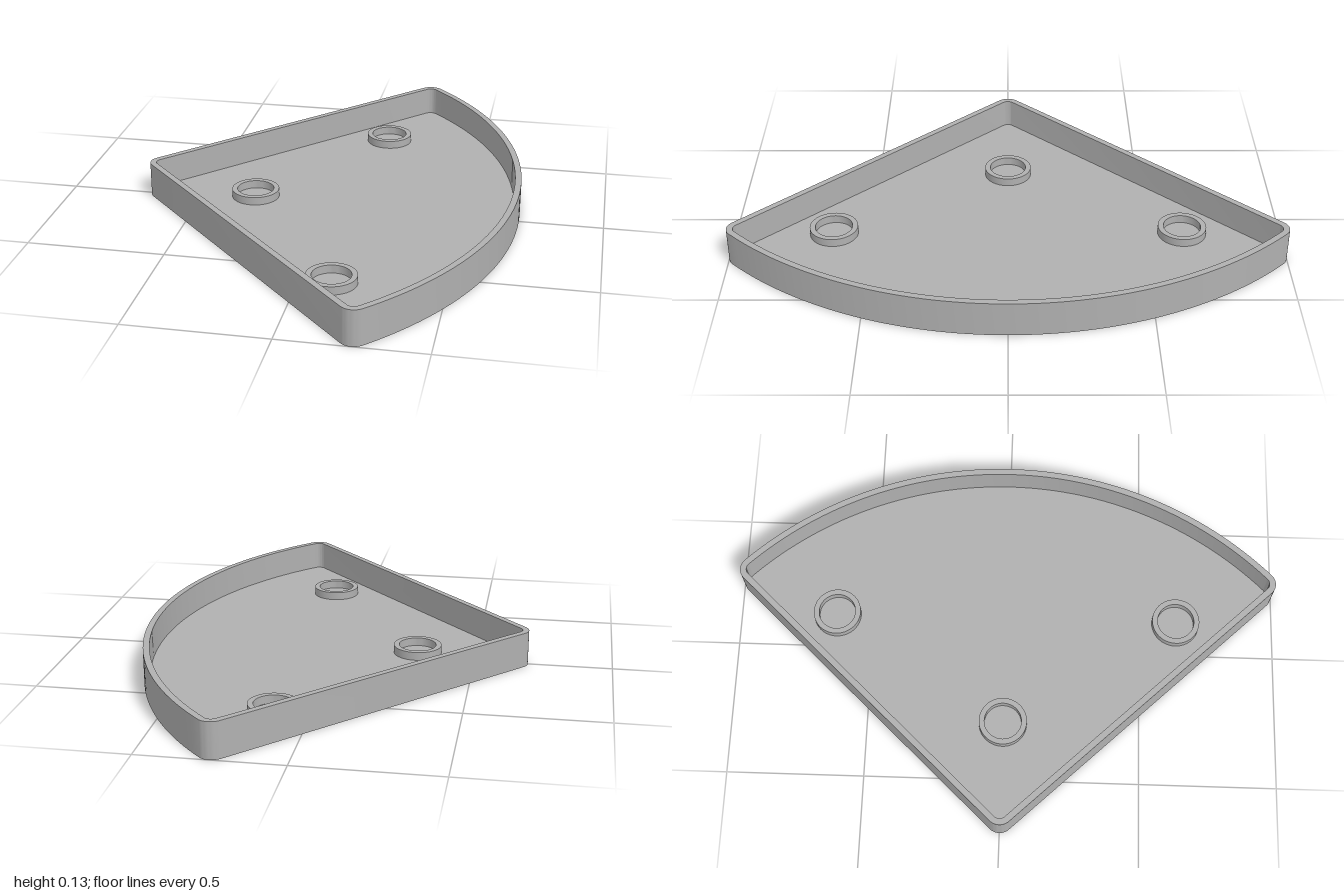
import * as THREE from 'three';
import { toCreasedNormals } from 'three/addons/utils/BufferGeometryUtils.js';

const HEIGHT = 0.13, FLOOR = 0.022, WALL = 0.023, CORNER = 0.05;

// Core sector whose outward offset gives every rounded outline
const APEX_X = -0.645, TIP_X = 0.25, TIP_Z = 0.95, ARC_X = -0.695, ARC_R = 1.34;

function sectorOutline(offset) {
  const side = Math.atan2(TIP_Z, TIP_X - APEX_X);
  const sweep = Math.atan2(TIP_Z, TIP_X - ARC_X);
  const points = [];
  const arc = (cx, cy, r, from, to, steps, skip = 0) => {
    for (let i = skip; i <= steps - skip; i++) {
      const a = from + (to - from) * i / steps;
      points.push(new THREE.Vector2(cx + r * Math.cos(a), cy + r * Math.sin(a)));
    }
  };
  const normal = Math.PI / 2 + side;
  arc(TIP_X, -TIP_Z, offset, -normal, -sweep, 12);
  arc(ARC_X, 0, ARC_R + offset, -sweep, sweep, 64, 1);
  arc(TIP_X, TIP_Z, offset, sweep, normal, 12);
  arc(APEX_X, 0, offset, normal, 2 * Math.PI - normal, 12);
  return points;
}

// Flat outline, with an optional hole, raised along y
function raise(outline, hole, height) {
  const shape = new THREE.Shape(outline);
  if (hole) shape.holes.push(new THREE.Path(hole));
  const geometry = new THREE.ExtrudeGeometry(shape, { depth: height, bevelEnabled: false });
  return toCreasedNormals(geometry.rotateX(-Math.PI / 2), 0.5);
}

function circle(radius, steps = 48) {
  return Array.from({ length: steps }, (_, i) => {
    const a = i / steps * Math.PI * 2;
    return new THREE.Vector2(radius * Math.cos(a), radius * Math.sin(a));
  });
}

export function createModel() {
  const model = new THREE.Group();
  model.name = 'sectorTray';
  const grey = new THREE.MeshStandardMaterial({ color: 0xb0b0b0 });
  grey.name = 'grey';

  const add = (name, geometry, x = 0, y = 0, z = 0) => {
    const mesh = new THREE.Mesh(geometry, grey);
    mesh.name = name;
    mesh.position.set(x, y, z);
    model.add(mesh);
  };

  // Rim wall around the thin floor
  const outer = sectorOutline(CORNER);
  const inner = sectorOutline(CORNER - WALL);
  add('wall', raise(outer, inner, HEIGHT));
  add('floor', raise(inner, null, FLOOR));

  // Three low rings standing on the floor
  const ring = raise(circle(0.088), circle(0.068), 0.03);
  add('apexRing', ring, -0.29, FLOOR, 0);
  add('frontRing', ring, 0.12, FLOOR, 0.635);
  add('backRing', ring, 0.12, FLOOR, -0.635);

  return model;
}
